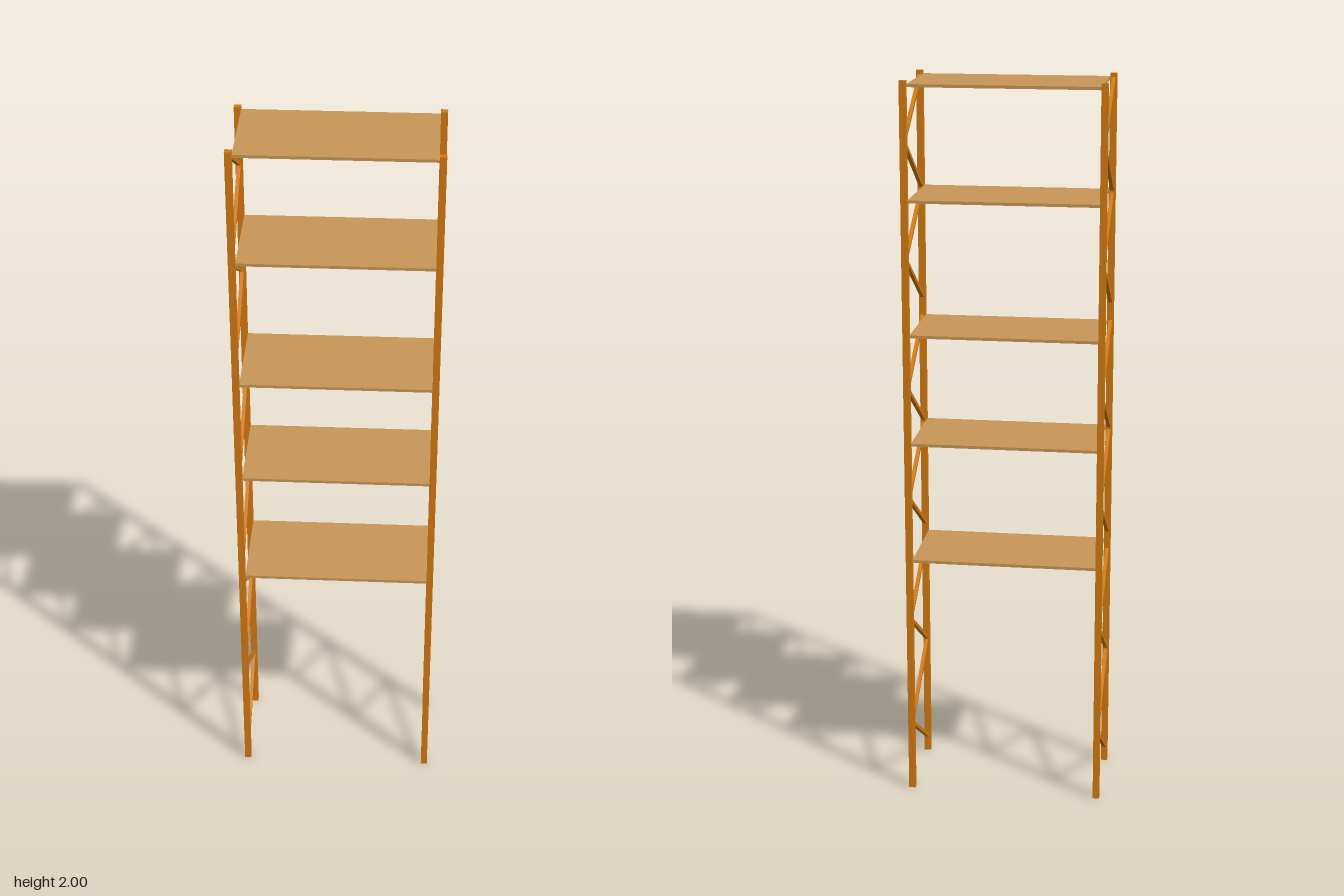
import * as THREE from 'three';

export function createModel() {
  const model = new THREE.Group();
  model.name = 'shelfRack';
  const frameWood = new THREE.MeshStandardMaterial({ color: 0xd27a12 });
  frameWood.name = 'orange frame';
  const shelfWood = new THREE.MeshStandardMaterial({ color: 0xc99657 });
  shelfWood.name = 'tan board';

  const box = (parent, name, material, size, position) => {
    const mesh = new THREE.Mesh(new THREE.BoxGeometry(...size), material);
    mesh.name = name;
    mesh.position.set(...position);
    parent.add(mesh);
    return mesh;
  };

  const postX = 0.263, postZ = 0.127, postWidth = 0.018;
  const braceReach = 0.122, braceWidth = 0.01;

  // Diagonal strut in a side frame, from (z0, y0) to (z1, y1)
  const brace = (parent, x, z0, y0, z1, y1) => {
    const length = Math.hypot(z1 - z0, y1 - y0);
    const mesh = box(parent, 'brace', frameWood, [braceWidth, braceWidth, length],
      [x, (y0 + y1) / 2, (z0 + z1) / 2]);
    mesh.rotation.x = -Math.atan2(y1 - y0, z1 - z0);
  };

  // Start, apex and end height of each V-shaped brace pair
  const bracePairs = [
    [0.045, 0.195, 0.348], [0.358, 0.508, 0.656], [0.713, 0.862, 1.01],
    [1.022, 1.172, 1.322], [1.378, 1.526, 1.676], [1.688, 1.84, 1.986],
  ];

  // Two ladder-like side frames
  for (const side of [-1, 1]) {
    const frame = new THREE.Group();
    frame.name = side > 0 ? 'leftFrame' : 'rightFrame';
    for (const end of [-1, 1]) {
      box(frame, end > 0 ? 'frontPost' : 'backPost', frameWood,
        [postWidth, 2, postWidth], [side * postX, 1, end * postZ]);
    }
    for (const [start, apex, top] of bracePairs) {
      brace(frame, side * postX, braceReach, start, -braceReach, apex);
      brace(frame, side * postX, -braceReach, apex, braceReach, top);
    }
    model.add(frame);
  }

  // Thin shelf boards between the frames
  for (const y of [0.683, 1.018, 1.32, 1.684, 1.987]) {
    box(model, 'shelf', shelfWood, [0.508, 0.008, 0.26], [0, y, 0]);
  }
  return model;
}
